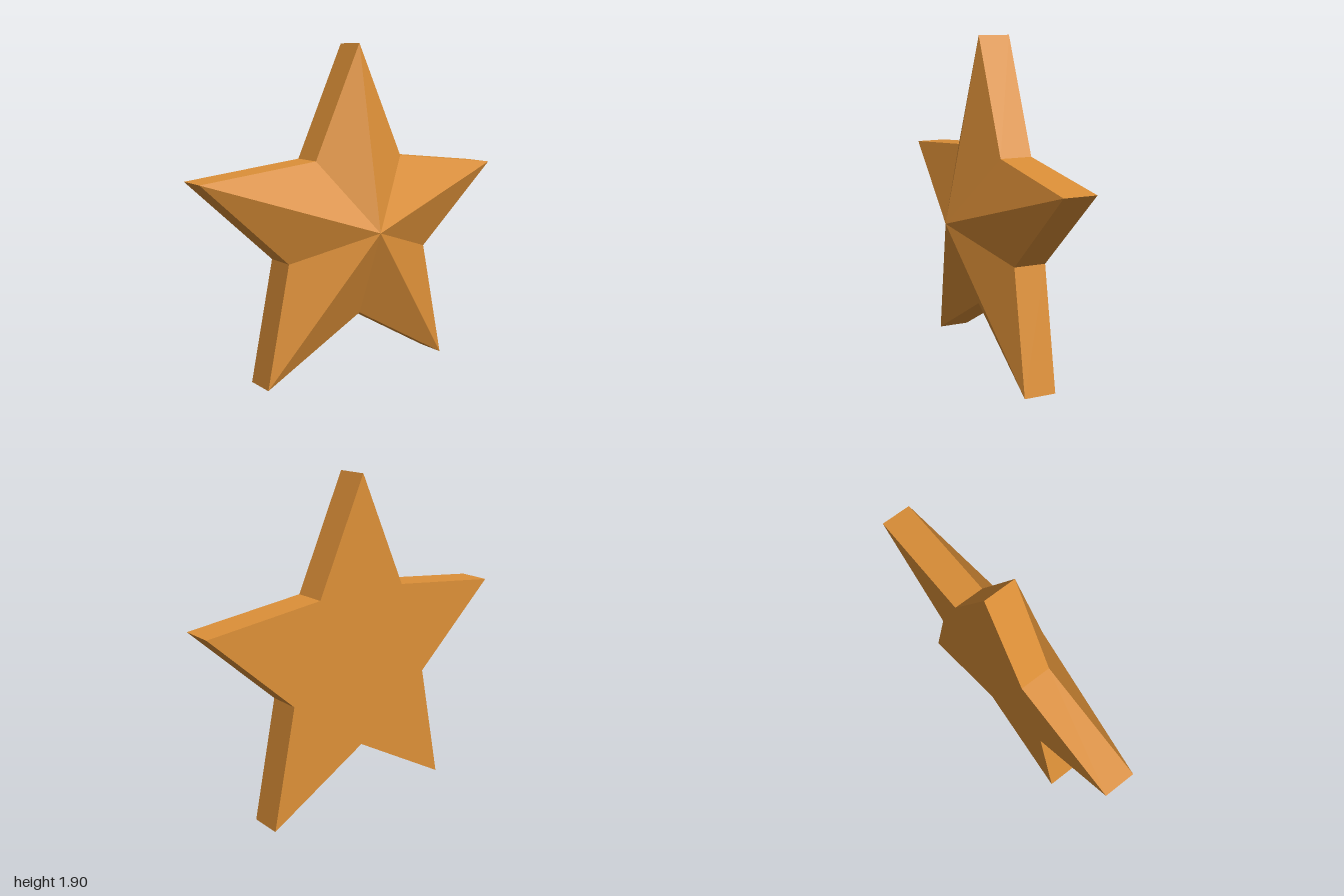
import * as THREE from 'three';

const OUTER = 1.0515, INNER = 0.5, CENTRE_Y = 0.8507;
const BACK = -0.195, RIM = -0.01, APEX = 0.195;

// Flat-shaded mesh from a list of triangles (each three Vector3 corners)
function facetMesh(name, triangles, material) {
  const geometry = new THREE.BufferGeometry().setFromPoints(triangles.flat());
  geometry.computeVertexNormals();
  const mesh = new THREE.Mesh(geometry, material);
  mesh.name = name;
  return mesh;
}

export function createModel() {
  const group = new THREE.Group();
  group.name = 'star';
  const gold = new THREE.MeshStandardMaterial({ color: 0xdd9038 });
  gold.name = 'amber gold';

  // Outline corner i, counter-clockwise from the top tip
  const corner = (i, z) => {
    const a = Math.PI / 2 + (i * Math.PI) / 5;
    const r = i % 2 ? INNER : OUTER;
    return new THREE.Vector3(r * Math.cos(a), CENTRE_Y + r * Math.sin(a), z);
  };
  const apex = new THREE.Vector3(0, CENTRE_Y, APEX);
  const backCentre = new THREE.Vector3(0, CENTRE_Y, BACK);

  const front = [], rim = [], back = [];
  for (let i = 0; i < 10; i++) {
    const a = corner(i, RIM), b = corner(i + 1, RIM);
    const c = corner(i, BACK), d = corner(i + 1, BACK);
    front.push([apex, a, b]);
    rim.push([a, c, d], [a, d, b]);
    back.push([backCentre, d, c]);
  }

  group.add(
    facetMesh('facetedFront', front, gold), // ridged face rising to the centre
    facetMesh('rim', rim, gold),            // straight side walls
    facetMesh('backPlate', back, gold)      // flat back
  );
  return group;
}
